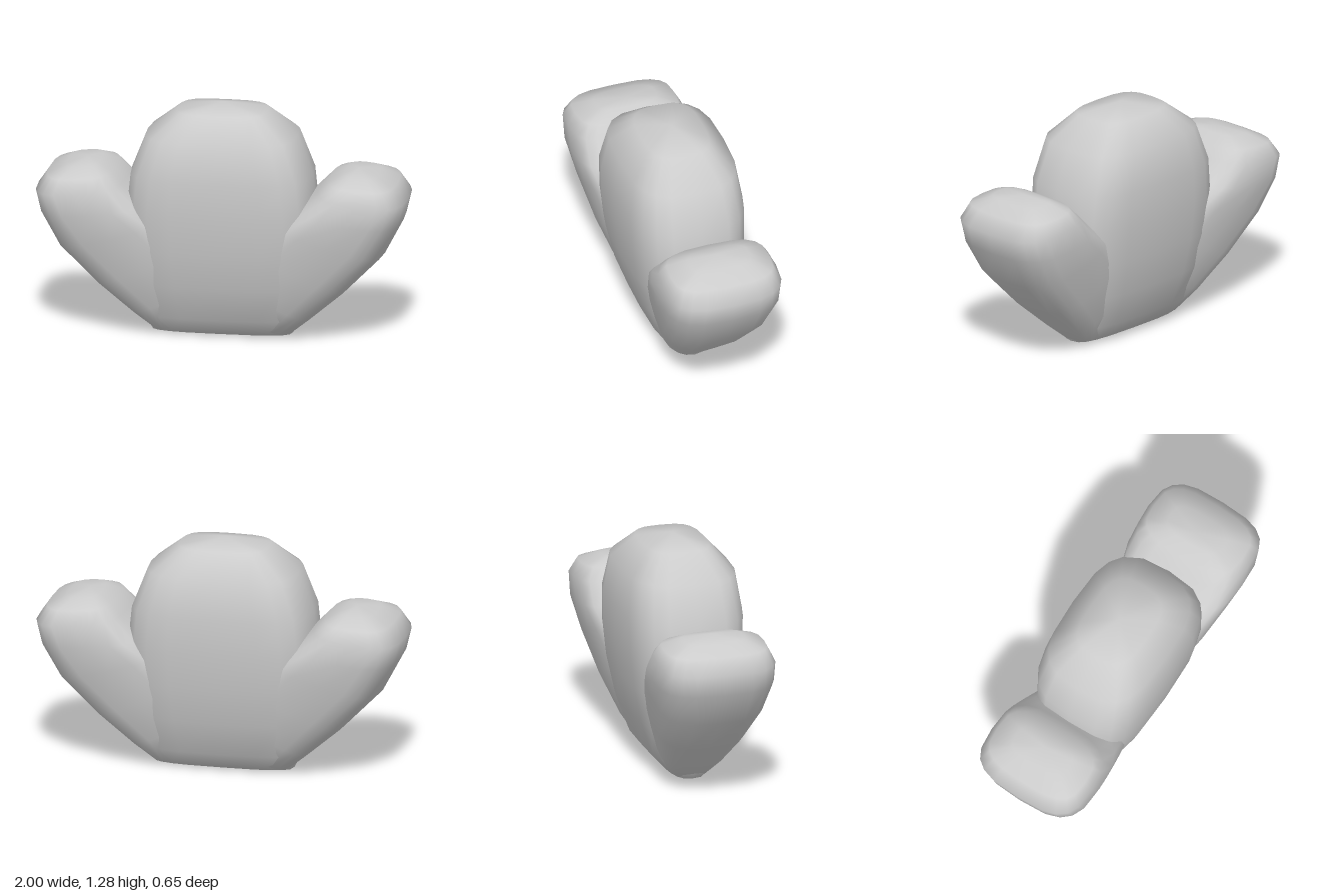
import * as THREE from 'three';
import { mergeVertices } from 'three/addons/utils/BufferGeometryUtils.js';

const SIDES = 20;
const soften = (v) => Math.sign(v) * Math.pow(Math.abs(v) < 1e-9 ? 0 : Math.abs(v), 0.62);

// Skins rounded-box rings; each section is [leftX, leftY, rightX, rightY, halfDepth].
function loft(sections) {
  const pos = [];
  const index = [];
  sections.forEach(([ax, ay, bx, by, d], i) => {
    for (let j = 0; j < SIDES; j++) {
      const t = (j / SIDES) * Math.PI * 2;
      const c = soften(Math.cos(t));
      pos.push((ax + bx) / 2 + ((bx - ax) / 2) * c, (ay + by) / 2 + ((by - ay) / 2) * c, d * soften(Math.sin(t)));
      if (i === sections.length - 1) continue;
      const k = (j + 1) % SIDES;
      const a = i * SIDES + j, b = i * SIDES + k;
      index.push(a, a + SIDES, b, b, a + SIDES, b + SIDES);
    }
  });
  const geo = new THREE.BufferGeometry();
  geo.setAttribute('position', new THREE.Float32BufferAttribute(pos, 3));
  geo.setIndex(index);
  const merged = mergeVertices(geo, 1e-4);
  merged.computeVertexNormals();
  return merged;
}

export function createModel() {
  const group = new THREE.Group();
  const material = new THREE.MeshStandardMaterial({ color: 0xcccccc });
  const add = (name, sections) => {
    const mesh = new THREE.Mesh(loft(sections), material);
    mesh.name = name;
    group.add(mesh);
  };

  // Central lobe: [y, halfWidth, halfDepth], from the narrow base edge to the domed top
  const centre = [
    [0, 0.32, 0], [0.015, 0.38, 0.1], [0.11, 0.43, 0.18], [0.3, 0.47, 0.25],
    [0.5, 0.5, 0.295], [0.7, 0.51, 0.318], [0.9, 0.488, 0.325],
    [1.11, 0.405, 0.295], [1.24, 0.24, 0.175], [1.28, 0, 0],
  ];
  add('centreLobe', centre.map(([y, w, d]) => [-w - 0.006, y, w - 0.006, y, d]));

  // Side lobe: inner edge to outer edge, fanning up and outwards
  const side = [
    [0.15, 0.03, 0.3, 0.005, 0], [0, 0.1, 0.365, 0.015, 0.11], [0.05, 0.3, 0.48, 0.11, 0.185],
    [0.15, 0.5, 0.67, 0.275, 0.25], [0.28, 0.65, 0.87, 0.48, 0.295],
    [0.41, 0.73, 0.97, 0.67, 0.325], [0.52, 0.84, 0.998, 0.79, 0.318],
    [0.58, 0.9, 0.94, 0.875, 0.28], [0.66, 0.935, 0.84, 0.922, 0.17], [0.73, 0.945, 0.73, 0.945, 0],
  ];
  add('leftLobe', side);
  add('rightLobe', side.map(([ax, ay, bx, by, d]) => [-bx, by, -ax, ay, d]));

  return group;
}
